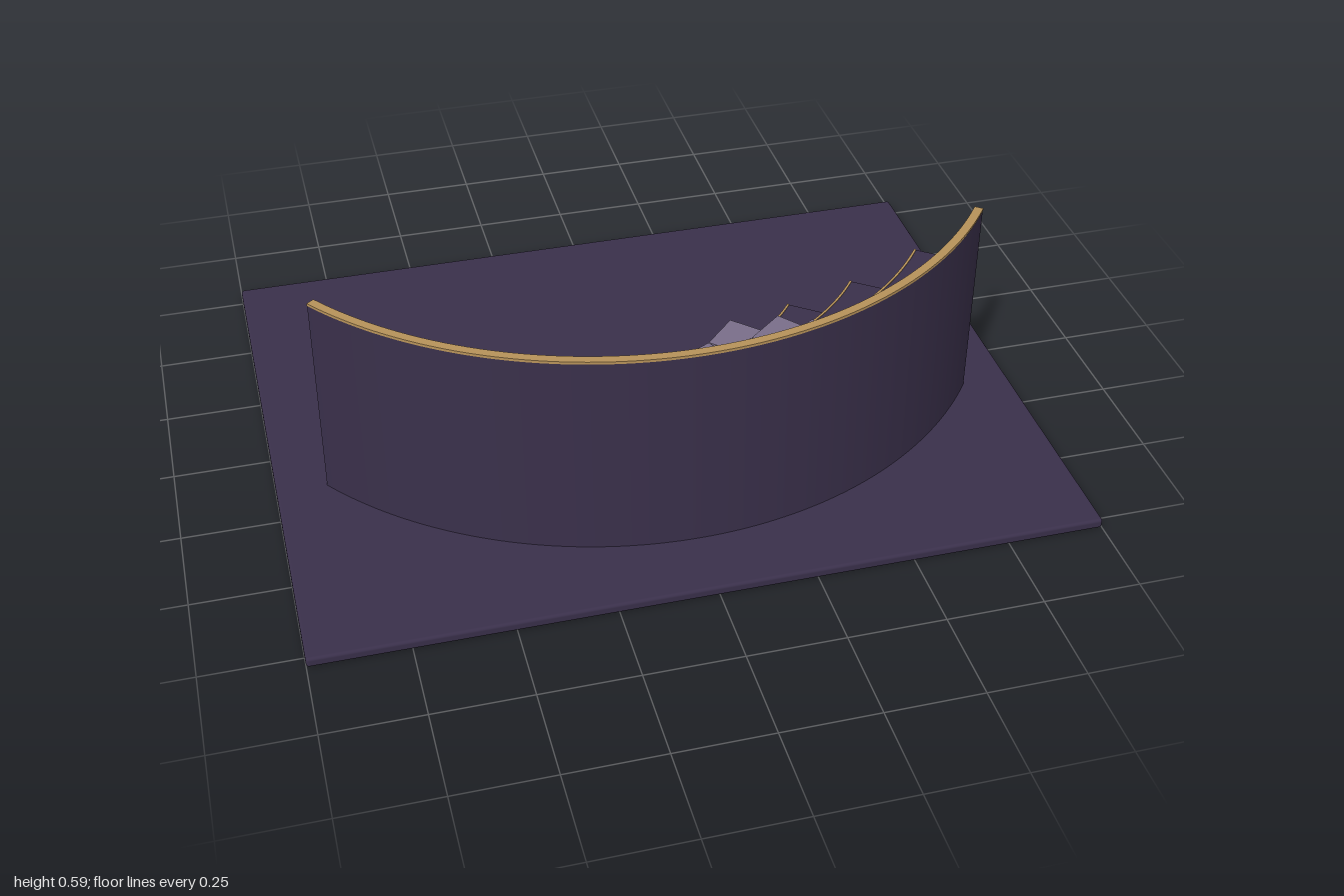
import * as THREE from 'three';
import { toCreasedNormals } from 'three/addons/utils/BufferGeometryUtils.js';
import { RoundedBoxGeometry } from 'three/addons/geometries/RoundedBoxGeometry.js';

const CENTRE_Z = -0.49;                 // common centre of every arc
const HALF = THREE.MathUtils.degToRad(53);
const BASE_TOP = 0.027;

function material(name, color) {
  const m = new THREE.MeshStandardMaterial({ color });
  m.name = name;
  return m;
}

// Ring sector between two radii and two heights, opening towards -z
function arcBlock(name, inner, outer, bottom, top, mat, half = HALF) {
  const shape = new THREE.Shape();
  shape.absarc(0, 0, outer, Math.PI / 2 - half, Math.PI / 2 + half, false);
  shape.absarc(0, 0, inner, Math.PI / 2 + half, Math.PI / 2 - half, true);
  shape.closePath();
  let geo = new THREE.ExtrudeGeometry(shape, { depth: top - bottom, bevelEnabled: false, curveSegments: 48 });
  geo.rotateX(Math.PI / 2);
  geo.translate(0, top, CENTRE_Z);
  geo = toCreasedNormals(geo, 0.5);
  const mesh = new THREE.Mesh(geo, mat);
  mesh.name = name;
  return mesh;
}

// Put a mesh on an arc, turned to face the centre
function placeOnArc(mesh, radius, angle, y) {
  mesh.position.set(Math.sin(angle) * radius, y, CENTRE_Z + Math.cos(angle) * radius);
  mesh.rotation.y = angle;
  return mesh;
}

export function createModel() {
  const model = new THREE.Group();
  model.name = 'amphitheatre';
  const plum = material('dark plum', 0x3a304b);
  const mauve = material('mauve cushion', 0x7a6f8a);
  const gold = material('gold trim', 0xb8935a);

  // Floor slab
  const floor = new THREE.Mesh(new RoundedBoxGeometry(2, BASE_TOP, 1.57, 2, 0.008), plum);
  floor.name = 'floor';
  floor.position.y = BASE_TOP / 2;
  model.add(floor);

  // Stepped tiers, each with a gold nosing and a row of flat cushions
  const tiers = [
    { inner: 0.405, top: 0.042, seats: 6 },
    { inner: 0.578, top: 0.155, seats: 7 },
    { inner: 0.752, top: 0.278, seats: 7 },
    { inner: 0.922, top: 0.423, seats: 6 },
  ];
  const padGeo = new THREE.BoxGeometry(0.127, 0.007, 0.114);
  const pitch = 0.145;
  tiers.forEach(({ inner, top, seats }, i) => {
    const tier = new THREE.Group();
    tier.name = `tier${i + 1}`;
    tier.add(arcBlock('step', inner, inner + 0.148, BASE_TOP - 0.002, top, plum));
    tier.add(arcBlock('nosing', inner - 0.003, inner + 0.003, top - 0.005, top + 0.002, gold));
    const radius = inner + 0.052;
    for (let s = 0; s < seats; s++) {
      const pad = new THREE.Mesh(padGeo, mauve);
      pad.name = 'cushion';
      tier.add(placeOnArc(pad, radius, (s - (seats - 1) / 2) * (pitch / radius), top + 0.0035));
    }
    model.add(tier);
  });

  // Curved rear wall with a gold cap rail
  model.add(arcBlock('wall', 1.072, 1.09, BASE_TOP - 0.002, 0.586, plum));
  model.add(arcBlock('capRail', 1.068, 1.091, 0.586, 0.593, gold));

  // Thin gold battens on the inner face of the wall
  const battenGeo = new THREE.BoxGeometry(0.007, 0.555, 0.005);
  for (let i = -6; i <= 6; i++) {
    const batten = new THREE.Mesh(battenGeo, gold);
    batten.name = 'batten';
    model.add(placeOnArc(batten, 1.0715, THREE.MathUtils.degToRad(i * 8.23), 0.3065));
  }
  return model;
}
